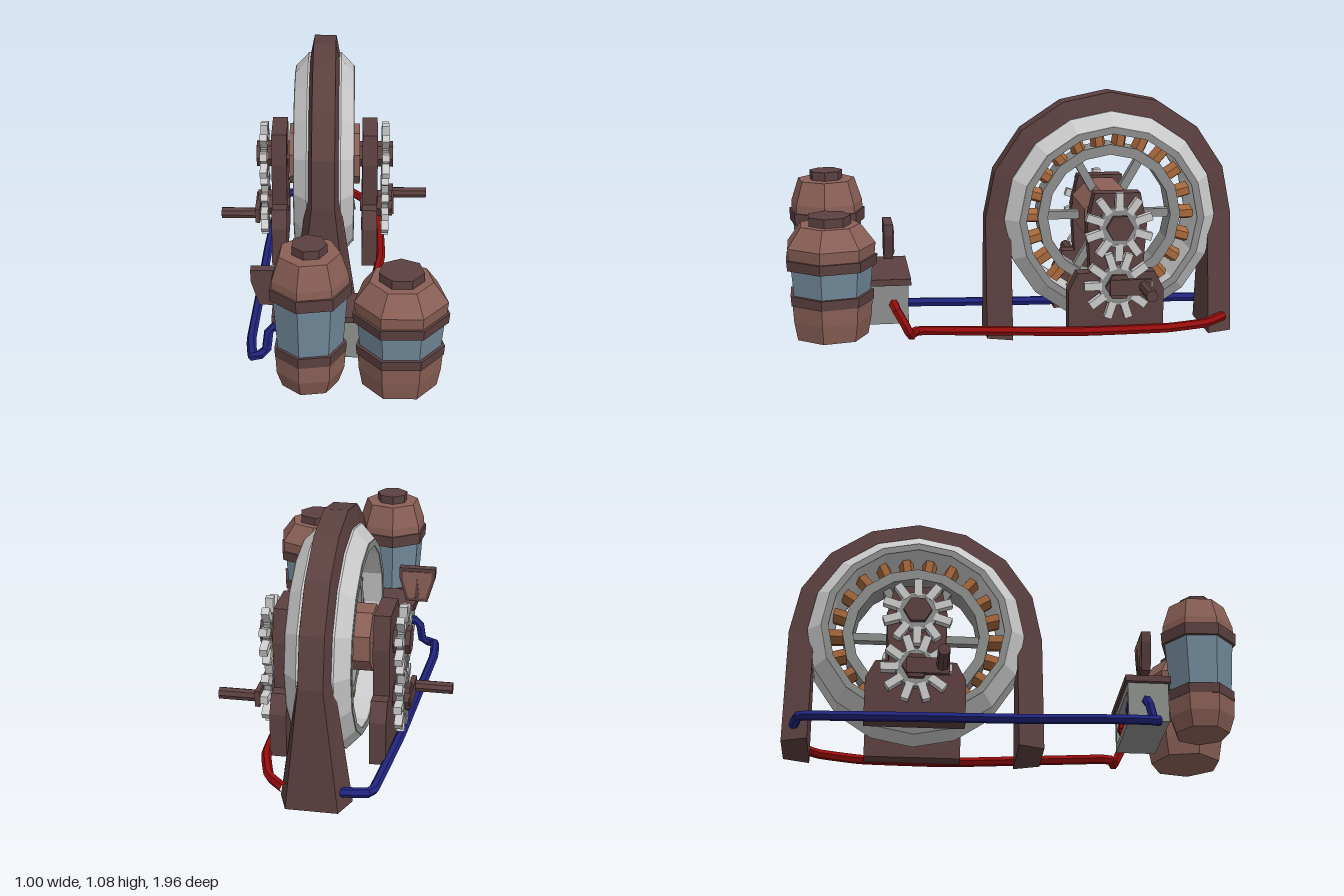
import * as THREE from 'three';

const mat = (name, color, extra = {}) => {
  const m = new THREE.MeshStandardMaterial({ color, flatShading: true, ...extra });
  m.name = name;
  return m;
};

export function createModel() {
  const M = {
    dark: mat('darkBrown', 0x5c4040), brown: mat('brown', 0x8a6056),
    glass: mat('tankBlue', 0x72899a), light: mat('lightMetal', 0xcacaca),
    grey: mat('greyMetal', 0x8c8e8c), copper: mat('copper', 0xa8693c),
    red: mat('redCable', 0x960c0c), blue: mat('blueCable', 0x20247e),
  };
  const root = new THREE.Group();
  root.name = 'generator';
  const group = (name, parent = root) => {
    const g = new THREE.Group();
    g.name = name;
    parent.add(g);
    return g;
  };
  const add = (parent, name, geo, material, x = 0, y = 0, z = 0) => {
    const m = new THREE.Mesh(geo, material);
    m.name = name;
    m.position.set(x, y, z);
    parent.add(m);
    return m;
  };
  const box = (w, h, d) => new THREE.BoxGeometry(w, h, d);
  // cylinder lying along x
  const rodX = (r, len, n) => new THREE.CylinderGeometry(r, r, len, n).rotateZ(-Math.PI / 2);
  const shapeOf = (pts) => new THREE.Shape(pts.map(([x, y]) => new THREE.Vector2(x, y)));
  const extrude = (shape, depth) => new THREE.ExtrudeGeometry(shape, { depth, bevelEnabled: false });
  const ringX = (pts, n) => new THREE.LatheGeometry(
    [...pts, pts[0]].map(([r, y]) => new THREE.Vector2(r, y)), n).rotateZ(-Math.PI / 2);

  const HUB_Y = 0.53;
  const machine = group('wheelMachine');
  machine.position.set(-0.0175, 0, -0.44);

  // Arch: tapered cross-sections swept up one leg, over and down the other
  const stations = [{ a: 0, y: 0, wo: 0.107, wi: 0.1475 }];
  for (let i = 0; i <= 8; i++) stations.push({ a: (i / 8) * Math.PI, y: HUB_Y, wo: 0.05, wi: 0.0725 });
  stations.push({ a: Math.PI, y: 0, wo: 0.107, wi: 0.1475 });
  const pos = [], idx = [];
  stations.forEach(({ a, y, wo, wi }, s) => {
    for (const [r, x] of [[0.55, -wo], [0.55, wo], [0.44, wi], [0.44, -wi]]) {
      pos.push(x, y + r * Math.sin(a), r * Math.cos(a));
    }
    if (s === 0) return;
    for (let k = 0; k < 4; k++) {
      const p = (s - 1) * 4 + k, q = (s - 1) * 4 + ((k + 1) % 4);
      idx.push(p, q, q + 4, p, q + 4, p + 4);
    }
  });
  const e = (stations.length - 1) * 4;
  idx.push(0, 3, 2, 0, 2, 1, e, e + 1, e + 2, e, e + 2, e + 3);
  const archGeo = new THREE.BufferGeometry();
  archGeo.setAttribute('position', new THREE.Float32BufferAttribute(pos, 3));
  archGeo.setIndex(idx);
  archGeo.computeVertexNormals();
  add(machine, 'arch', archGeo, M.dark);

  // Wheel: chamfered rim, inner ring, coils, spokes and hub
  const wheel = group('wheel', machine);
  wheel.position.y = HUB_Y;
  add(wheel, 'rim', ringX([[0.38, -0.1325], [0.41, -0.1325], [0.47, -0.075],
    [0.47, 0.075], [0.41, 0.1325], [0.38, 0.1325]], 16), M.light);
  for (const s of [-1, 1]) {
    add(wheel, 'rimEdge', ringX([[0.379, -0.003], [0.409, -0.003], [0.409, 0.003], [0.379, 0.003]], 16),
      M.grey, s * 0.1325);
  }
  add(wheel, 'innerRing', ringX([[0.275, -0.06], [0.32, -0.06], [0.32, 0.06], [0.275, 0.06]], 16), M.grey);
  const coilGeo = new THREE.CylinderGeometry(0.032, 0.032, 0.09, 6).scale(1.8, 1, 1).translate(0, 0.345, 0);
  for (let i = 0; i < 22; i++) {
    add(wheel, 'coil', coilGeo, M.copper).rotation.x = ((i + 0.5) / 22) * Math.PI * 2;
  }
  const spokeGeo = box(0.04, 0.24, 0.036).translate(0, 0.18, 0);
  for (let i = 0; i < 6; i++) add(wheel, 'spoke', spokeGeo, M.grey).rotation.x = ((i + 0.5) / 6) * Math.PI * 2;
  add(wheel, 'hub', rodX(0.14, 0.325, 8).rotateX(Math.PI / 8), M.brown);
  add(wheel, 'axle', rodX(0.06, 0.62, 6), M.dark);

  // Each side: pillar, two meshing gears and a crank; the far side is turned half round
  const pillarGeo = extrude(shapeOf([[-0.21, 0.05], [0.21, 0.05], [0.21, 0.24], [0.17, 0.32], [0.115, 0.32],
    [0.13, 0.53], [0.1, 0.67], [-0.1, 0.67], [-0.13, 0.53], [-0.115, 0.32], [-0.17, 0.32], [-0.21, 0.24]]),
  0.07).rotateY(Math.PI / 2);
  const toothGeo = box(0.034, 0.075, 0.034).translate(0, 0.112, 0);
  for (const turn of [0, Math.PI]) {
    const side = group('driveSide', machine);
    side.rotation.y = turn;
    add(side, 'pillar', pillarGeo, M.dark, 0.174);
    [[HUB_Y, 0], [0.272, 0.5]].forEach(([y, phase]) => {
      const gear = group('gear', side);
      gear.position.set(0.281, y, 0);
      add(gear, 'gearDisc', rodX(0.09, 0.03, 10), M.grey);
      add(gear, 'gearHub', rodX(0.06, 0.07, 6), M.dark);
      for (let i = 0; i < 10; i++) {
        add(gear, 'tooth', toothGeo, M.light).rotation.x = ((i + phase) / 10) * Math.PI * 2;
      }
    });
    add(side, 'crankShaft', rodX(0.04, 0.15, 6), M.dark, 0.24, 0.272);
    add(side, 'crankArm', box(0.022, 0.07, 0.18), M.dark, 0.312, 0.27, -0.048);
    add(side, 'crankHandle', rodX(0.026, 0.17, 8), M.dark, 0.395, 0.272, -0.108);
  }

  // Control box with framed rear panel, terminals and gauge
  const control = group('controlBox');
  add(control, 'boxBody', box(0.38, 0.175, 0.14), M.grey, -0.01, 0.1975, 0.565);
  add(control, 'boxLid', box(0.42, 0.028, 0.195), M.dark, -0.01, 0.298, 0.547);
  const frame = shapeOf([[-0.2, 0.11], [0.18, 0.11], [0.18, 0.285], [-0.2, 0.285]]);
  frame.holes.push(new THREE.Path([[-0.17, 0.14], [-0.17, 0.255], [0.15, 0.255], [0.15, 0.14]]
    .map(([x, y]) => new THREE.Vector2(x, y))));
  add(control, 'panelFrame', extrude(frame, 0.035), M.grey, 0, 0, 0.461);
  for (const [name, x, m] of [['redTerminal', 0.11, M.red], ['blueTerminal', -0.12, M.blue]]) {
    add(control, name, box(0.03, 0.06, 0.03), m, x, 0.2, 0.483);
    add(control, name + 'Knob', box(0.06, 0.022, 0.02), m, x, 0.2, 0.475);
  }
  const gaugePts = [[-0.05, 0], [0.05, 0], [0.085, 0.115], [0.085, 0.165], [-0.085, 0.165], [-0.085, 0.115]];
  add(control, 'gauge', extrude(shapeOf(gaugePts), 0.04), M.dark, -0.225, 0.31, 0.508);
  const dial = extrude(shapeOf(gaugePts.map(([x, y]) => [x * 0.8, y * 0.8])), 0.006);
  add(control, 'gaugeDial', dial, M.brown, -0.225, 0.327, 0.503);
  add(control, 'gaugeNeedle', extrude(shapeOf([[-0.012, 0], [0.012, 0], [0, 0.1]]), 0.006),
    M.dark, -0.225, 0.33, 0.499);

  // Cables from the box to the rear foot of the arch
  const cable = (name, material, pts) => {
    const curve = new THREE.CatmullRomCurve3(pts.map((p) => new THREE.Vector3(...p)), false, 'catmullrom', 0.15);
    add(root, name, new THREE.TubeGeometry(curve, 48, 0.021, 6), material);
  };
  cable('redCable', M.red, [[0.16, 0.2, 0.525], [0.22, 0.19, 0.52], [0.24, 0.13, 0.485], [0.23, 0.068, 0.455],
    [0.145, 0.065, 0.41], [0.245, 0.065, -0.28], [0.24, 0.065, -0.66], [0.185, 0.065, -0.85], [0.1, 0.07, -0.95]]);
  cable('blueCable', M.blue, [[-0.18, 0.2, 0.54], [-0.235, 0.195, 0.54], [-0.25, 0.09, 0.56], [-0.305, 0.07, 0.58],
    [-0.32, 0.065, 0.43], [-0.3, 0.06, -0.02], [-0.285, 0.06, -0.4], [-0.25, 0.065, -0.89],
    [-0.22, 0.068, -0.925], [-0.12, 0.07, -0.94]]);

  // Banded seven-sided tanks
  const tank = (name, x, z, turn, layers) => {
    const g = group(name);
    g.position.set(x, 0, z);
    g.rotation.y = turn;
    for (const [part, m, y0, r0, y1, r1] of layers) {
      add(g, part, new THREE.CylinderGeometry(r1, r0, y1 - y0, 7), m, 0, (y0 + y1) / 2);
    }
  };
  tank('tallTank', -0.06, 0.8, Math.PI + 0.16, [
    ['tankBottom', M.brown, 0.11, 0.118, 0.18, 0.142], ['tankLower', M.brown, 0.18, 0.142, 0.255, 0.146],
    ['lowerBand', M.dark, 0.255, 0.148, 0.3, 0.15], ['window', M.glass, 0.3, 0.137, 0.522, 0.153],
    ['upperBand', M.dark, 0.522, 0.167, 0.575, 0.169], ['tankUpper', M.brown, 0.575, 0.16, 0.61, 0.158],
    ['shoulder', M.brown, 0.61, 0.158, 0.71, 0.125], ['cap', M.dark, 0.71, 0.072, 0.747, 0.072]]);
  tank('wideTank', 0.305, 0.795, Math.PI, [
    ['tankBottom', M.brown, 0.11, 0.155, 0.19, 0.17], ['tankLower', M.brown, 0.19, 0.17, 0.26, 0.175],
    ['lowerBand', M.dark, 0.26, 0.18, 0.302, 0.183], ['window', M.glass, 0.302, 0.168, 0.412, 0.178],
    ['upperBand', M.dark, 0.412, 0.195, 0.455, 0.199], ['tankUpper', M.brown, 0.455, 0.187, 0.505, 0.192],
    ['shoulder', M.brown, 0.505, 0.192, 0.588, 0.13], ['cap', M.dark, 0.588, 0.093, 0.625, 0.093]]);

  return root;
}
